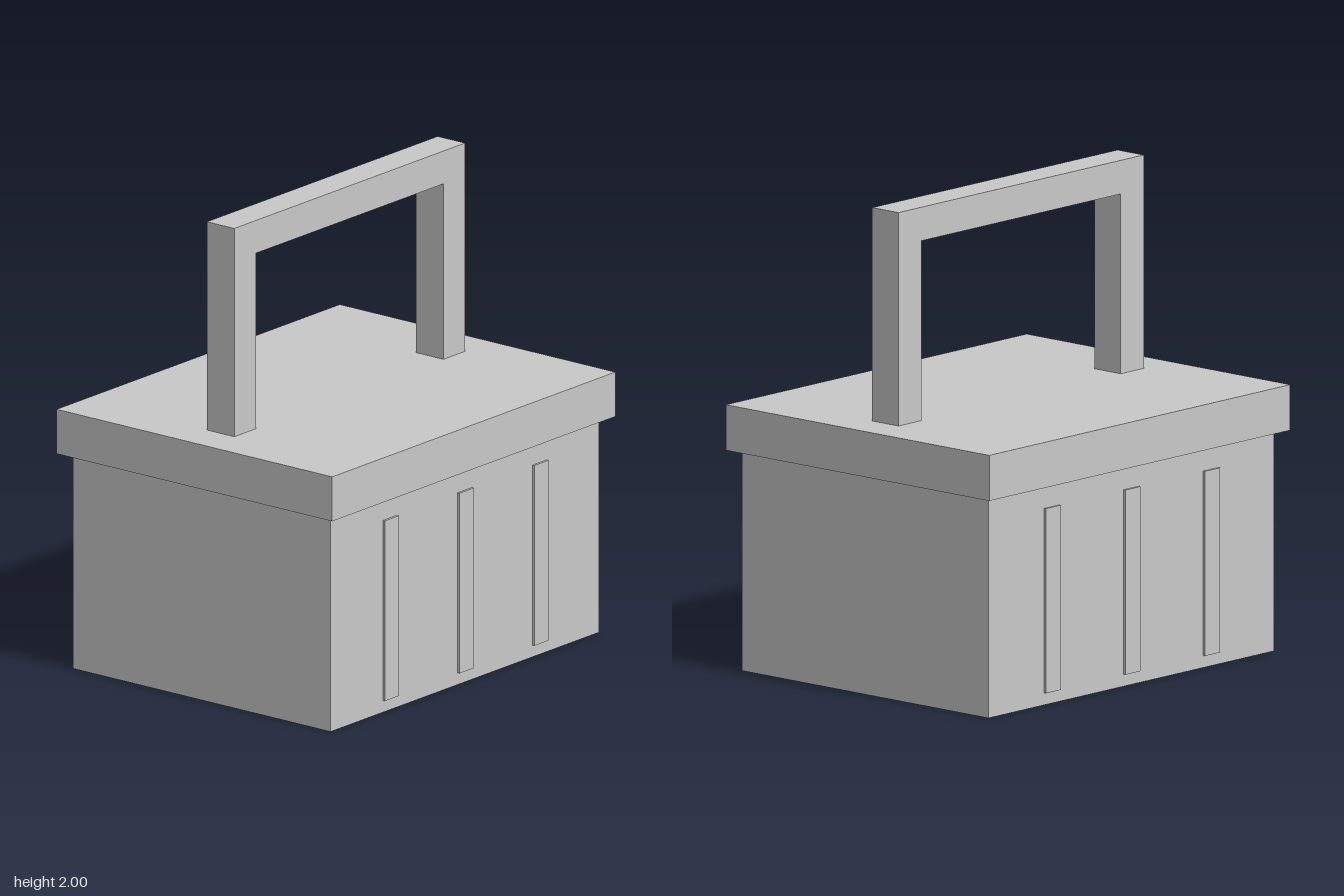
import * as THREE from 'three';

export function createModel() {
  const group = new THREE.Group();
  group.name = 'basket';
  const grey = new THREE.MeshStandardMaterial({ color: 0xc8c8c8 });
  grey.name = 'light grey';

  const add = (name, geometry, x, y, z) => {
    const mesh = new THREE.Mesh(geometry, grey);
    mesh.name = name;
    mesh.position.set(x, y, z);
    group.add(mesh);
  };
  const box = (w, h, d) => new THREE.BoxGeometry(w, h, d);

  // Body and overhanging lid
  add('body', box(1.734, 0.92, 1.354), 0, 0.46, 0);
  add('lid', box(1.828, 0.19, 1.448), 0, 1.015, 0);

  // Upright slats on front and back
  for (const side of [1, -1]) {
    for (const x of [-0.483, 0, 0.483]) {
      add(side > 0 ? 'frontSlat' : 'backSlat', box(0.092, 0.77, 0.02), x, 0.435, side * 0.677);
    }
  }

  // Square arch handle standing on the lid
  const outer = 0.745, inner = 0.605, base = 1.11, under = 1.86, top = 2, depth = 0.144;
  const arch = new THREE.Shape([
    [-outer, base], [-inner, base], [-inner, under], [inner, under],
    [inner, base], [outer, base], [outer, top], [-outer, top],
  ].map(([x, y]) => new THREE.Vector2(x, y)));
  add('handle', new THREE.ExtrudeGeometry(arch, { depth, bevelEnabled: false }), 0, 0, -depth / 2);

  return group;
}
